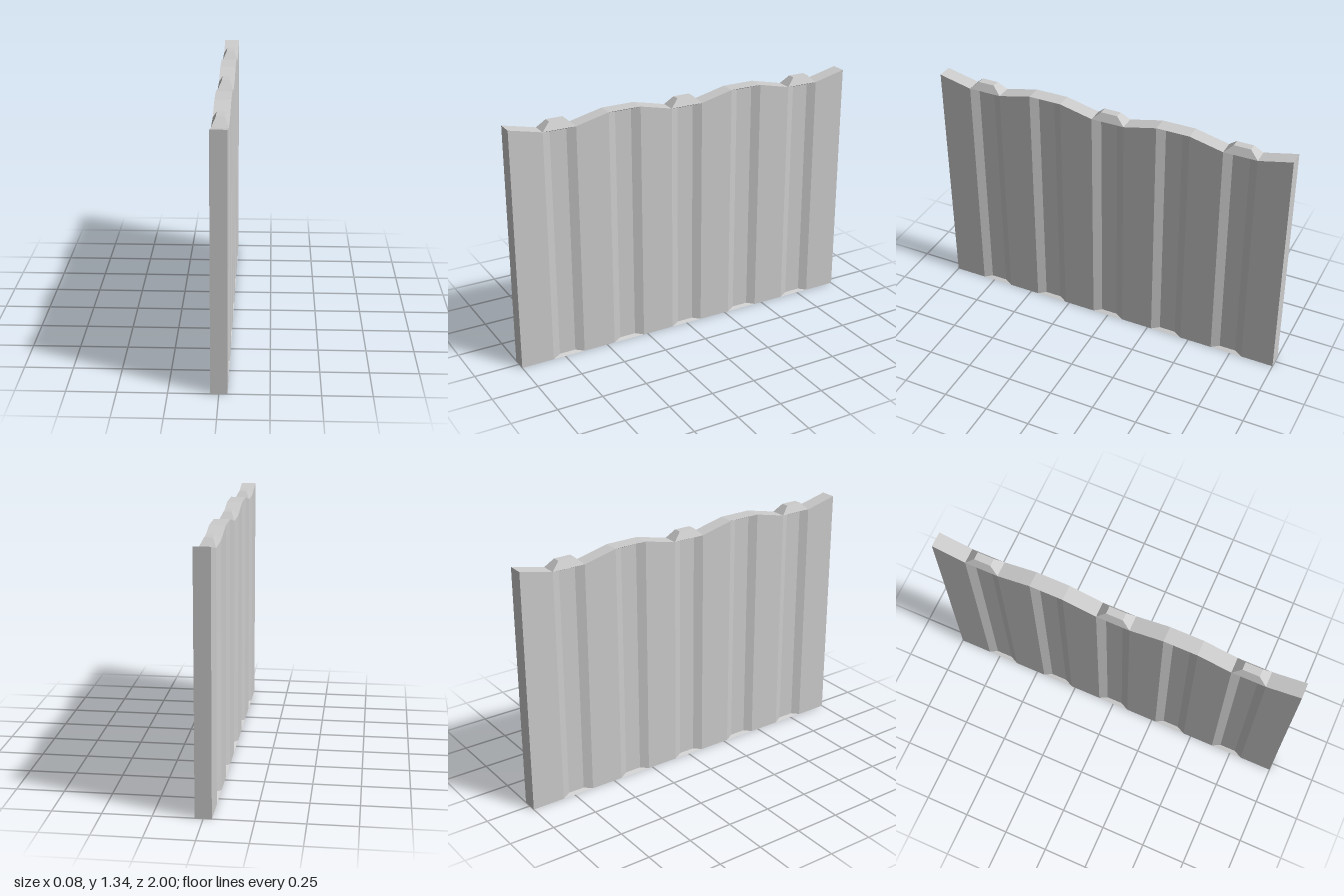
import * as THREE from 'three';

const W = 0.042;             // half thickness
const HIGH = 1.335, LOW = 1.293;
const COUNT = 11, STEP = 2 / COUNT;
const INSET = STEP / 4;      // slope width along the length
const DEPTH = 0.021;         // panel recess depth
const LEDGE = 0.01;          // slope height at panel ends

// Collects quads (corners counter-clockwise from outside) into a flat-shaded mesh
function makeMesh(name, quads, material) {
  const points = [];
  for (const [a, b, c, d] of quads) points.push(...a, ...b, ...c, ...a, ...c, ...d);
  const geometry = new THREE.BufferGeometry();
  geometry.setAttribute('position', new THREE.Float32BufferAttribute(points, 3));
  geometry.computeVertexNormals();
  const mesh = new THREE.Mesh(geometry, material);
  mesh.name = name;
  return mesh;
}

// Sloped border between two four-cornered loops, plus the inner face
function frustum(outer, inner) {
  const sides = outer.map((p, i) => {
    const j = (i + 1) % 4;
    return [p, outer[j], inner[j], inner[i]];
  });
  return [...sides, inner];
}

// Half-turn about the vertical axis
const turned = (quads) => quads.map((q) => q.map(([x, y, z]) => [-x, y, -z]));

// Horizontal rectangle facing up
const level = (x, y, z1, z2) => [[x, y, z1], [x, y, z2], [-x, y, z2], [-x, y, z1]];

export function createModel() {
  const group = new THREE.Group();
  group.name = 'wallPanel';
  const material = new THREE.MeshStandardMaterial({ color: 0xcccccc, flatShading: true });

  // Wavy top: low and high pairs of stations alternate
  const topAt = (i) => (Math.floor((i + 1) / 2) % 2 ? LOW : HIGH);
  const zAt = (i) => 1 - i * STEP;

  const side = [], top = [], recesses = [];
  for (let i = 0; i < COUNT; i++) {
    const z1 = zAt(i), z2 = zAt(i + 1), y1 = topAt(i), y2 = topAt(i + 1);
    const outer = [[W, 0, z1], [W, 0, z2], [W, y2, z2], [W, y1, z1]];
    if (i % 2) {
      // Level strips carry a recessed upright panel
      const x = W - DEPTH, a = z1 - INSET, b = z2 + INSET, h = y1 - LEDGE;
      recesses.push(...frustum(outer, [[x, LEDGE, a], [x, LEDGE, b], [x, h, b], [x, h, a]]));
    } else {
      side.push(outer);
    }
    if (i % 4 === 1) {
      // Raised cap on each low strip
      const cap = frustum(level(W, LOW, z1, z2), level(W - DEPTH, HIGH, z1 - INSET, z2 + INSET));
      group.add(makeMesh('topCap' + ((i + 3) / 4), cap, material));
    } else {
      top.push([[W, y1, z1], [W, y2, z2], [-W, y2, z2], [-W, y1, z1]]);
    }
  }

  // Plain strips, wavy top, ends and base
  const end = [[[-W, 0, 1], [W, 0, 1], [W, HIGH, 1], [-W, HIGH, 1]]];
  const base = [level(-W, 0, 1, -1)];
  group.add(makeMesh('wall', [...side, ...turned(side), ...top, ...end, ...turned(end), ...base], material));
  group.add(makeMesh('leftRecesses', recesses, material));
  group.add(makeMesh('rightRecesses', turned(recesses), material));
  return group;
}
